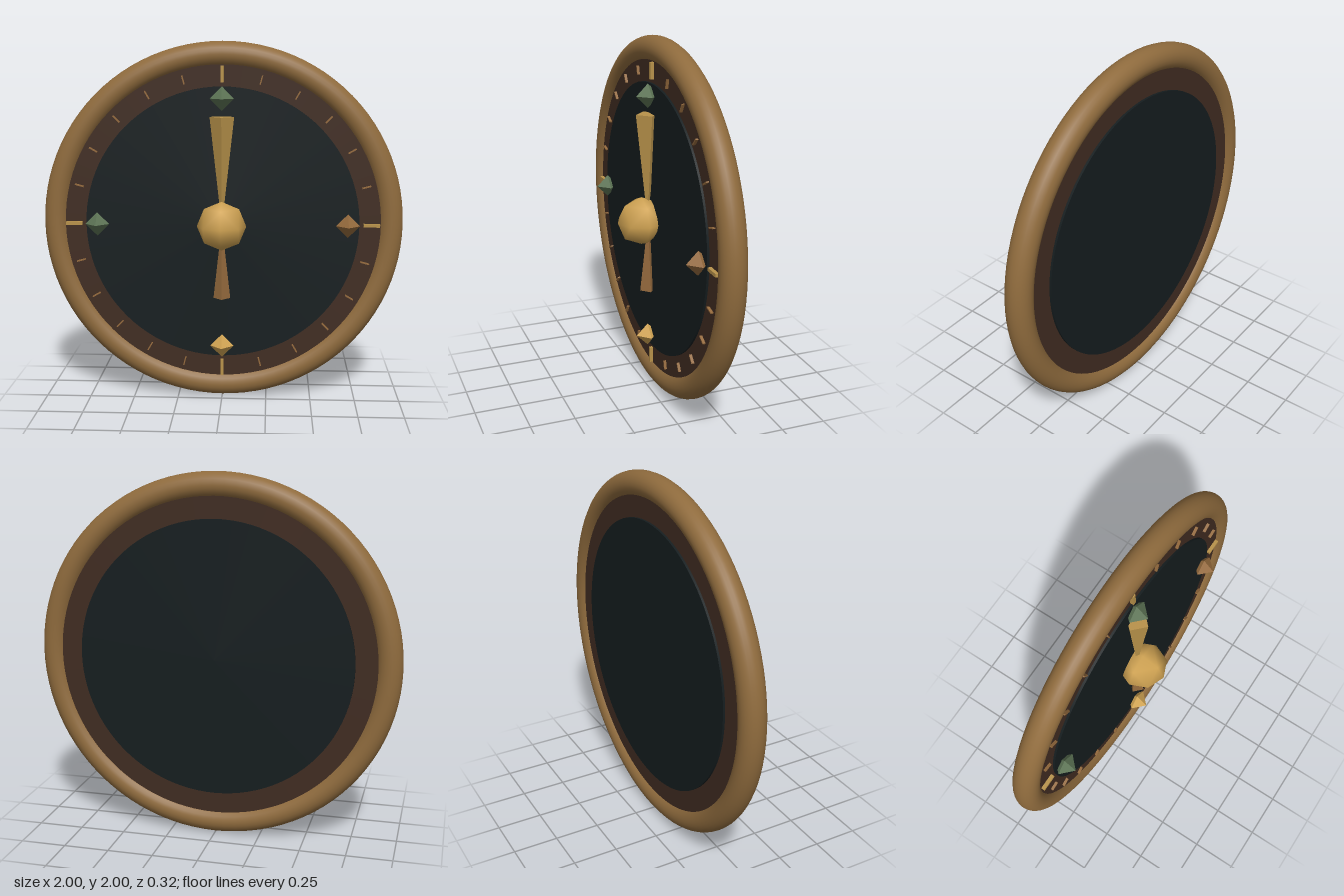
import * as THREE from 'three';

const C = { rim: 0x8f6b3d, band: 0x402c21, face: 0x151d1f, gold: 0xd0a352, brass: 0xb8924a, bronze: 0x93693c, green: 0x5c7354 };

export function createModel() {
  const model = new THREE.Group();
  const dial = new THREE.Group();
  dial.name = 'dial';
  dial.position.y = 1;
  model.add(dial);

  const add = (name, geometry, color, x, y, z, flatShading = false) => {
    const mesh = new THREE.Mesh(geometry, new THREE.MeshStandardMaterial({ color, flatShading }));
    mesh.name = name;
    mesh.position.set(x, y, z);
    dial.add(mesh);
    return mesh;
  };
  const disc = (r, depth) => new THREE.CylinderGeometry(r, r, depth, 96).rotateX(Math.PI / 2);

  // Rim, backing band and dark face, shared by front and back
  const mid = -0.09;
  add('rim', new THREE.TorusGeometry(0.93, 0.07, 24, 96), C.rim, 0, 0, mid);
  add('band', disc(0.89, 0.086), C.band, 0, 0, mid);
  add('face', disc(0.757, 0.11), C.face, 0, 0, mid);

  // Tick marks every 15 degrees, larger at the quarters
  for (let i = 0; i < 24; i++) {
    const a = (i / 24) * Math.PI * 2;
    const major = i % 6 === 0;
    const size = major ? [0.018, 0.09, 0.04] : [0.007, 0.05, 0.03];
    const r = major ? 0.825 : 0.82;
    const tick = add(major ? 'quarterTick' : 'tick', new THREE.BoxGeometry(...size),
      major ? C.brass : C.bronze, Math.sin(a) * r, Math.cos(a) * r, -0.047);
    tick.rotation.z = -a;
  }

  // Gems at the four quarters: top, left, bottom, right
  [C.green, C.bronze, C.gold, C.green].forEach((color, i) => {
    const a = (i * Math.PI) / 2;
    add('gem', new THREE.OctahedronGeometry(0.066), color, Math.sin(a) * 0.693, Math.cos(a) * 0.693, -0.016, true);
  });

  // Four-sided needles flaring outward from the hub
  const pointer = add('longNeedle', new THREE.ConeGeometry(0.067, 0.6, 4), C.brass, 0, 0.295, -0.015, true);
  pointer.rotation.x = Math.PI;
  add('shortNeedle', new THREE.ConeGeometry(0.047, 0.42, 4), C.bronze, 0, -0.205, -0.018, true);

  // Faceted hub
  add('hub', new THREE.OctahedronGeometry(0.136, 1), C.gold, 0, 0, 0.022);

  return model;
}
